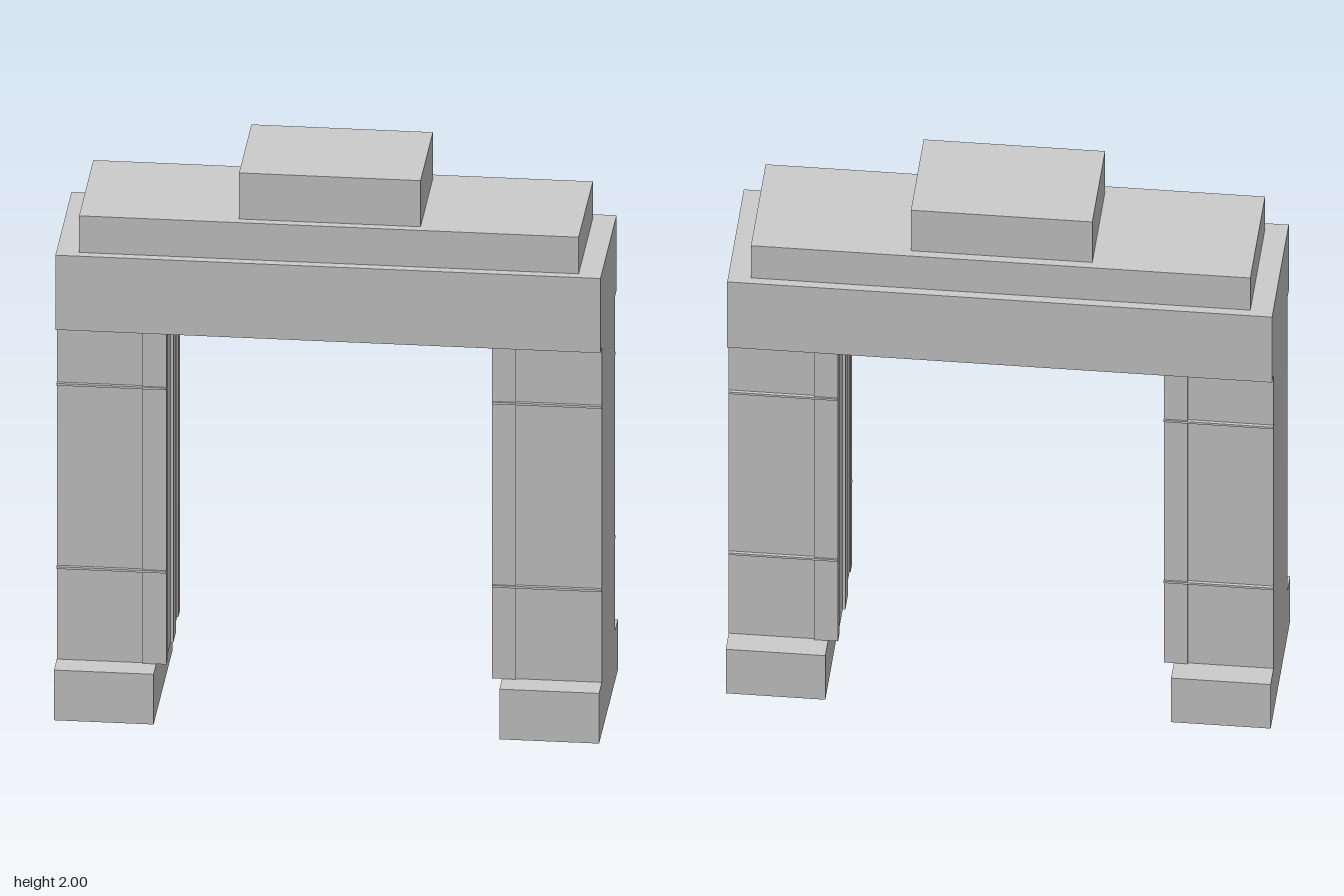
import * as THREE from 'three';

const material = new THREE.MeshStandardMaterial({ color: 0xcccccc, flatShading: true });

// Box given by its minimum and maximum on each axis
function block(name, [x0, x1], [y0, y1], [z0, z1]) {
  const mesh = new THREE.Mesh(new THREE.BoxGeometry(x1 - x0, y1 - y0, z1 - z0), material);
  mesh.position.set((x0 + x1) / 2, (y0 + y1) / 2, (z0 + z1) / 2);
  mesh.name = name;
  return mesh;
}

// One pillar; side is +1 for left, -1 for right
function pillar(side) {
  const group = new THREE.Group();
  group.name = side > 0 ? 'leftPillar' : 'rightPillar';
  const add = (name, x, y, z) => {
    const xs = side > 0 ? x : [-x[1], -x[0]];
    group.add(block(name, xs, y, z));
  };
  const shaft = [0.185, 1.42];

  add('plinth', [0.585, 0.922], [0, 0.185], [-0.306, 0.306]);
  add('shaft', [0.555, 0.922], shaft, [-0.215, 0.215]);

  // Raised rib down the middle of the inner face
  add('innerRib', [0.546, 0.57], shaft, [-0.04, 0.04]);

  for (const s of [1, -1]) {
    const depth = (a, b) => (s > 0 ? [a, b] : [-b, -a]);
    // Trim along the inner corners
    add('cornerTrim', [0.551, 0.632], shaft, depth(0.17, 0.221));
    // Thin string courses across the front and back
    for (const y of [0.527, 1.203]) {
      add('stringCourse', [0.551, 0.922], [y - 0.004, y + 0.004], depth(0.2, 0.227));
    }
  }
  return group;
}

export function createModel() {
  const model = new THREE.Group();
  model.name = 'gateway';
  model.add(pillar(1), pillar(-1));

  // Stacked lintel, cornice and crown block
  model.add(
    block('lintel', [-0.922, 0.922], [1.42, 1.695], [-0.261, 0.261]),
    block('cornice', [-0.845, 0.845], [1.695, 1.83], [-0.23, 0.23]),
    block('crownBlock', [-0.307, 0.307], [1.83, 2], [-0.2, 0.2]),
  );
  return model;
}
